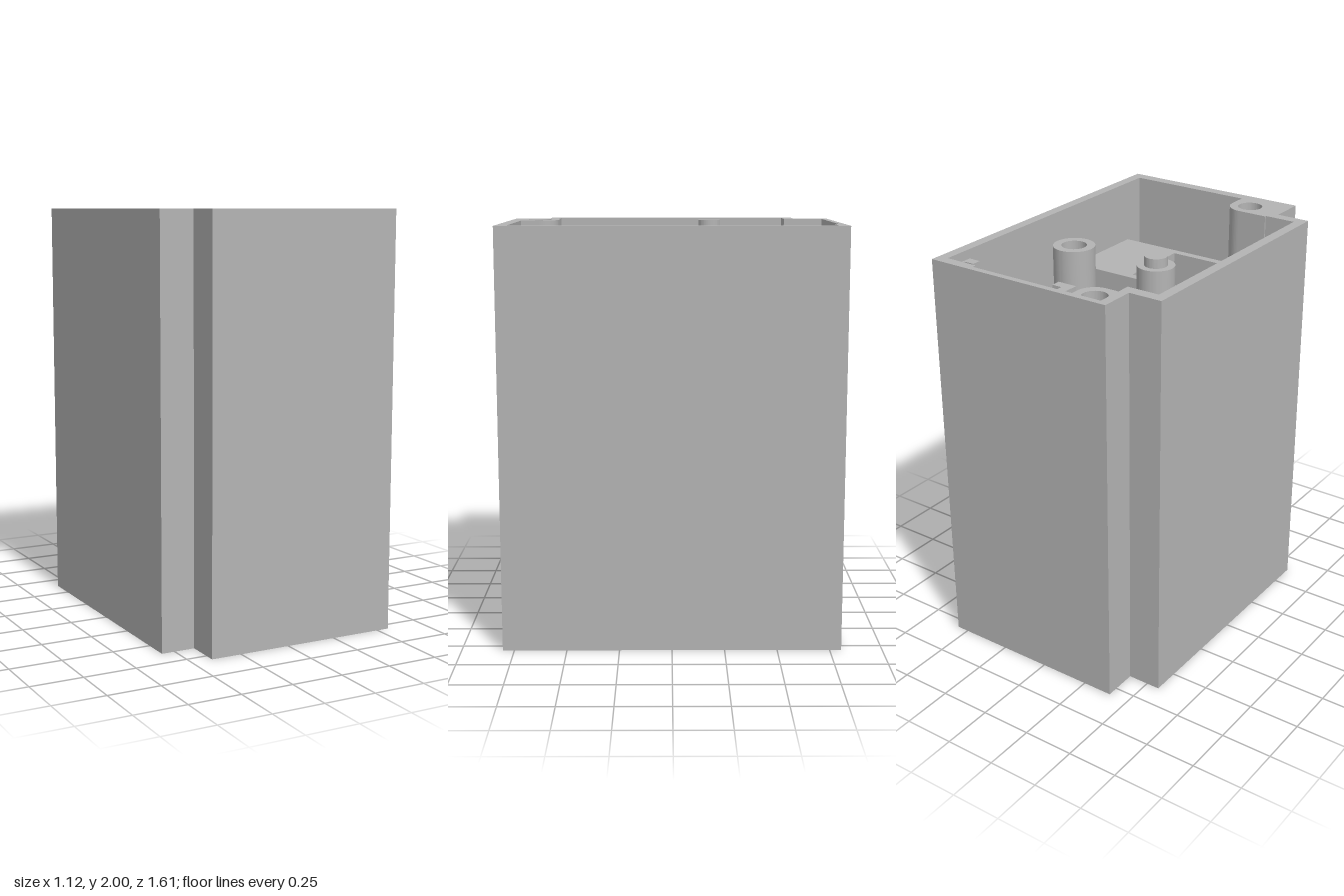
import * as THREE from 'three';
import { toCreasedNormals } from 'three/addons/utils/BufferGeometryUtils.js';

const TOP = 2, FLOOR = 0.05, LEDGE = 1.955, DECK = 1.69, HOLE_BASE = 1.45;

export function createModel() {
  const model = new THREE.Group();
  model.name = 'openEnclosure';
  const grey = new THREE.MeshStandardMaterial({ color: 0xb4b4b4 });
  grey.name = 'light grey plastic';

  // Plan outlines use (x, z); each is extruded between two heights
  const polygon = (pts) => new THREE.Shape(pts.map(([x, z]) => new THREE.Vector2(x, z)));
  const rect = (x0, x1, z0, z1) => polygon([[x0, z0], [x1, z0], [x1, z1], [x0, z1]]);
  const circle = (x, z, r) => new THREE.Shape().absarc(x, z, r, 0, Math.PI * 2, false);

  function slab(name, shape, y0, y1, holes = []) {
    const s = shape.clone();
    s.holes = holes;
    const geo = new THREE.ExtrudeGeometry(s, { depth: y1 - y0, bevelEnabled: false, curveSegments: 32 });
    geo.rotateX(Math.PI / 2).translate(0, y1, 0);
    const mesh = new THREE.Mesh(toCreasedNormals(geo, 0.6), grey);
    mesh.name = name;
    model.add(mesh);
  }

  // Stepped outer outline
  const outline = polygon([
    [-0.4, -0.805], [0.56, -0.805], [0.56, 0.805], [-0.4, 0.805],
    [-0.4, 0.63], [-0.565, 0.63], [-0.565, -0.635], [-0.4, -0.635],
  ]);

  // Cavity outline; the upper rim is cut back behind the rear screw boss
  function cavity(rim) {
    const s = new THREE.Shape();
    s.moveTo(-0.515, -0.58);
    s.lineTo(-0.355, -0.58);
    if (rim) {
      s.lineTo(-0.355, -0.775);
      s.lineTo(0.345, -0.775);
      s.lineTo(0.345, -0.755);
    } else {
      s.lineTo(-0.36, -0.555);
      s.lineTo(-0.225, -0.555);
      s.absarc(-0.225, -0.645, 0.09, Math.PI / 2, 0, true);
      s.lineTo(-0.135, -0.755);
    }
    s.lineTo(0.51, -0.755);
    s.lineTo(0.51, 0.75);
    s.lineTo(-0.12, 0.75);
    s.lineTo(-0.12, 0.66);
    s.absarc(-0.21, 0.66, 0.09, 0, -Math.PI / 2, true);
    s.lineTo(-0.36, 0.57);
    s.lineTo(-0.36, 0.578);
    s.lineTo(-0.515, 0.578);
    s.closePath();
    return s;
  }

  // Floor and walls, with blind screw holes in the two corner bosses
  const frontHole = circle(-0.22, 0.665, 0.06);
  const rearHole = circle(-0.235, -0.655, 0.06);
  slab('floor', outline, 0, FLOOR, [circle(-0.13, 0, 0.103), rect(-0.36, 0.03, 0.14, 0.55)]);
  slab('lowerWalls', outline, FLOOR, HOLE_BASE, [cavity(false)]);
  slab('upperWalls', outline, HOLE_BASE, LEDGE, [cavity(false), frontHole, rearHole]);
  slab('rim', outline, LEDGE, TOP, [cavity(true), frontHole]);

  // Posts standing on the floor
  slab('cableTube', circle(-0.13, 0, 0.135), FLOOR, 1.68, [circle(-0.13, 0, 0.103)]);
  slab('pinPost', circle(-0.235, -0.19, 0.088), FLOOR, LEDGE);
  slab('locatingPin', circle(-0.235, -0.19, 0.054), LEDGE, TOP);
  slab('screwPostBase', circle(0.23, -0.19, 0.1), FLOOR, HOLE_BASE);
  slab('screwPost', circle(0.23, -0.19, 0.1), HOLE_BASE, LEDGE, [circle(0.23, -0.19, 0.06)]);

  // Raised deck with a rectangular pocket over the floor window
  slab('pocketDeck', rect(-0.18, 0.512, 0.18, 0.64), FLOOR, DECK, [rect(-0.135, 0.185, 0.22, 0.6)]);
  slab('rearPocketClip', rect(-0.015, 0.07, 0.22, 0.27), 1.45, 1.55);
  slab('frontPocketClip', rect(-0.015, 0.07, 0.55, 0.6), 1.45, 1.55);

  // Grooved guides for boards
  slab('leftBoardGuide', polygon([
    [0.512, -0.757], [0.45, -0.757], [0.45, -0.71], [0.5, -0.71],
    [0.5, -0.655], [0.45, -0.655], [0.45, -0.61], [0.512, -0.61],
  ]), FLOOR, LEDGE);
  slab('rightBoardGuide', polygon([
    [-0.1, -0.757], [-0.005, -0.757], [-0.005, -0.71], [-0.055, -0.71],
    [-0.055, -0.655], [-0.005, -0.655], [-0.005, -0.61], [-0.1, -0.61],
  ]), FLOOR, LEDGE);
  slab('middleBoardGuide', polygon([
    [-0.01, 0.015], [0.13, 0.015], [0.13, 0.092], [0.08, 0.092],
    [0.08, 0.055], [0.025, 0.055], [0.025, 0.092], [-0.01, 0.092],
  ]), FLOOR, 1.3);
  slab('frontBoardGuide', polygon([
    [-0.03, 0.64], [0.03, 0.64], [0.03, 0.715], [0.095, 0.715],
    [0.095, 0.64], [0.145, 0.64], [0.145, 0.752], [-0.03, 0.752],
  ]), FLOOR, 1.3);

  return model;
}
